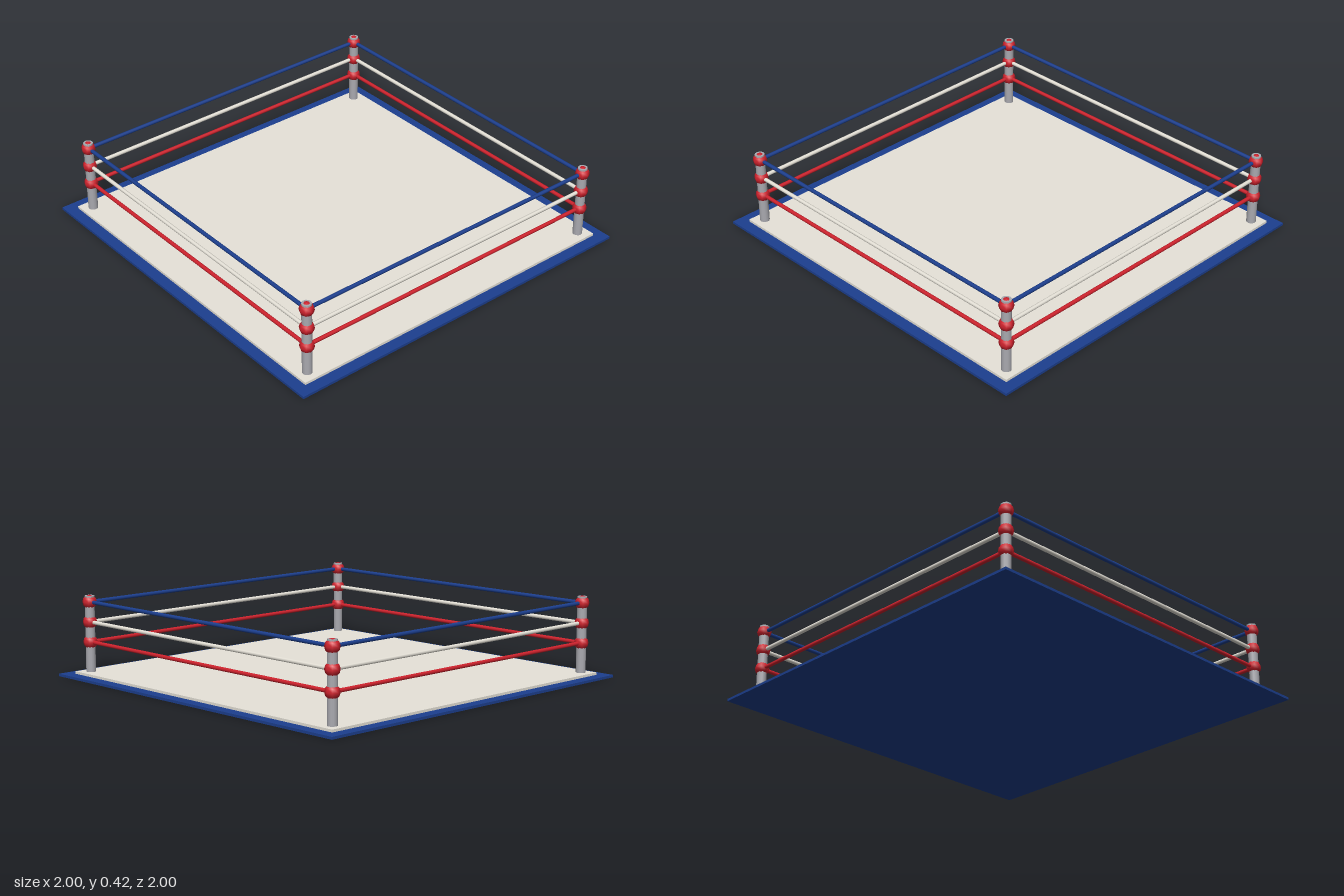
import * as THREE from 'three';

const paint = (name, color) => {
  const m = new THREE.MeshStandardMaterial({ color });
  m.name = name;
  return m;
};

export function createModel() {
  const blue = paint('royal blue', 0x1c3f8f);
  const canvas = paint('canvas white', 0xe8e4da);
  const steel = paint('steel grey', 0xaaaab0);
  const red = paint('red', 0xd0222d);

  const ring = new THREE.Group();
  ring.name = 'boxingRing';
  const add = (parent, name, geometry, material, x, y, z) => {
    const mesh = new THREE.Mesh(geometry, material);
    mesh.name = name;
    mesh.position.set(x, y, z);
    parent.add(mesh);
    return mesh;
  };

  // Floor: blue apron with the raised canvas mat on it
  add(ring, 'apron', new THREE.BoxGeometry(2, 0.013, 2), blue, 0, 0.0065, 0);
  add(ring, 'mat', new THREE.BoxGeometry(1.88, 0.014, 1.88), canvas, 0, 0.019, 0);

  const corner = 0.883;
  const levels = [
    { name: 'lowerRope', y: 0.179, material: red },
    { name: 'middleRope', y: 0.282, material: canvas },
    { name: 'topRope', y: 0.385, material: blue },
  ];
  const postGeometry = new THREE.CylinderGeometry(0.025, 0.025, 0.402, 12);
  const padGeometry = new THREE.SphereGeometry(0.037, 8, 6);
  const ropeGeometry = new THREE.CylinderGeometry(0.01, 0.01, corner * 2, 8);

  // Corner posts, each with a round pad at every rope level;
  // the grey rim of the post shows around the tip of the top pad
  for (const sx of [-1, 1]) {
    for (const sz of [-1, 1]) {
      const post = new THREE.Group();
      post.name = 'cornerPost';
      post.position.set(sx * corner, 0, sz * corner);
      add(post, 'post', postGeometry, steel, 0, 0.217, 0);
      for (const { y } of levels) add(post, 'pad', padGeometry, red, 0, y, 0);
      ring.add(post);
    }
  }

  // Ropes along all four sides
  for (const { name, y, material } of levels) {
    for (const s of [-1, 1]) {
      add(ring, name, ropeGeometry, material, 0, y, s * corner).rotation.z = Math.PI / 2;
      add(ring, name, ropeGeometry, material, s * corner, y, 0).rotation.x = Math.PI / 2;
    }
  }
  return ring;
}
